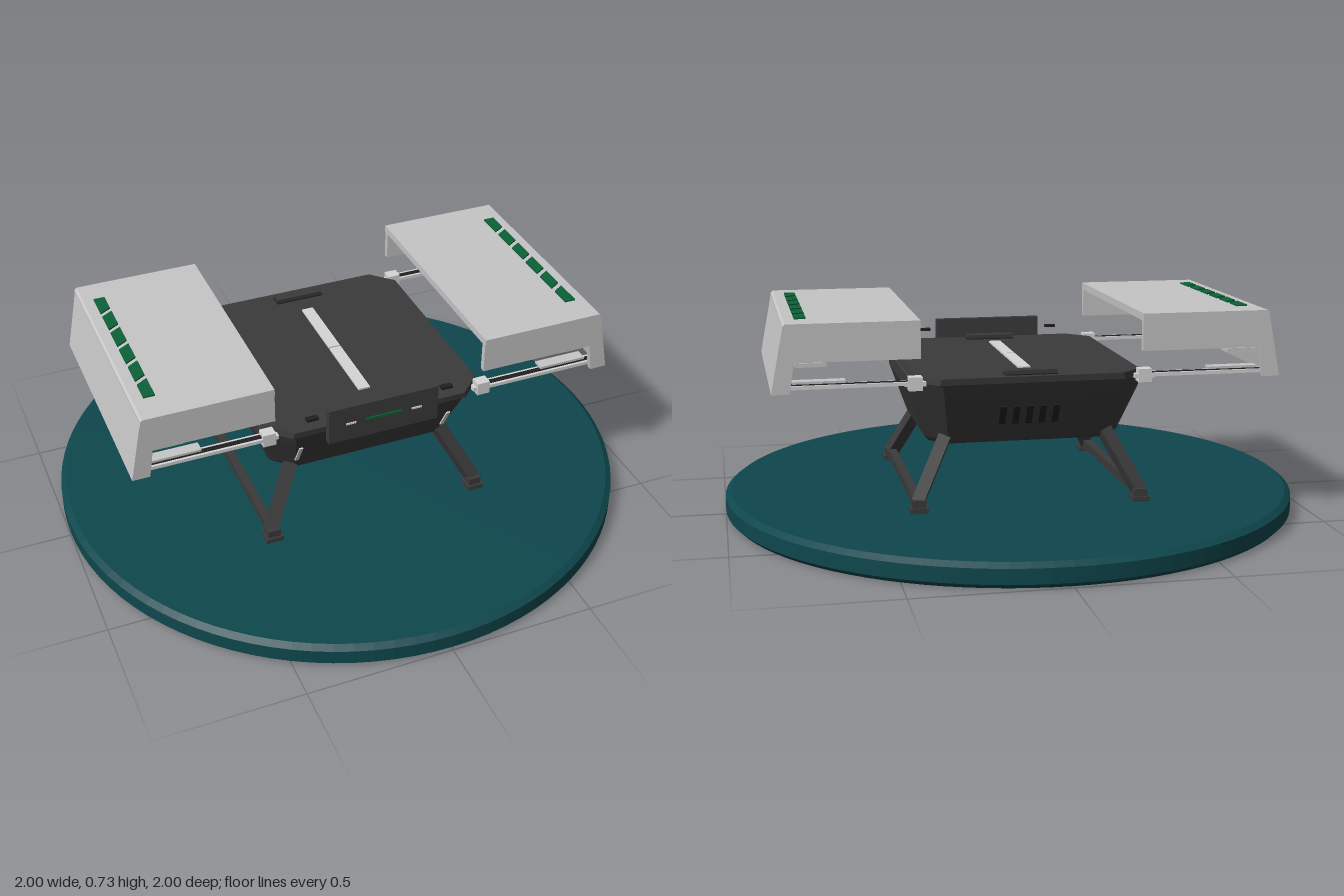
import * as THREE from 'three';

const mat = (name, color) => Object.assign(new THREE.MeshStandardMaterial({ color }), { name });

export function createModel() {
  const teal = mat('padTeal', 0x0e474d);
  const dark = mat('bodyCharcoal', 0x3b3b3b);
  const black = mat('ventBlack', 0x1f1f1f);
  const grey = mat('coverGrey', 0xc6c6c6);
  const white = mat('trimWhite', 0xd6d6d6);
  const green = mat('accentGreen', 0x0c6238);

  const model = new THREE.Group();
  model.name = 'droneStation';
  const station = new THREE.Group();
  station.name = 'station';
  station.position.z = -0.012;
  model.add(station);

  const add = (name, geo, material, parent = station) => {
    const m = new THREE.Mesh(geo, material);
    m.name = name;
    parent.add(m);
    return m;
  };
  const box = (name, material, w, h, d, x, y, z) => {
    const m = add(name, new THREE.BoxGeometry(w, h, d), material);
    m.position.set(x, y, z);
    return m;
  };
  const shape = pts => new THREE.Shape(pts.map(p => new THREE.Vector2(...p)));
  // Profile in x/y extruded along z from z0
  const slab = (name, material, pts, z0, depth) => {
    const g = new THREE.ExtrudeGeometry(shape(pts), { depth, bevelEnabled: false });
    g.translate(0, 0, z0);
    return add(name, g, material);
  };
  // Square bar between two points
  const strut = (name, material, a, b, w, d) => {
    const A = new THREE.Vector3(...a), B = new THREE.Vector3(...b);
    const m = add(name, new THREE.BoxGeometry(w, A.distanceTo(B), d), material);
    m.position.copy(A).add(B).multiplyScalar(0.5);
    m.quaternion.setFromUnitVectors(new THREE.Vector3(0, 1, 0), B.sub(A).normalize());
    return m;
  };

  // Round landing pad with a bevelled rim
  const rim = [[0, 0], [0.985, 0], [1, 0.015], [1, 0.065], [0.98, 0.08], [0, 0.08]];
  const pad = new THREE.LatheGeometry(rim.map(p => new THREE.Vector2(...p)), 96).toNonIndexed();
  pad.computeVertexNormals();
  add('landingPad', pad, teal, model);

  // Chamfered hull lofted from octagons: [y, half width, half depth, chamfer]
  const levels = [[0.285, 0.32, 0.28, 0.06], [0.30, 0.335, 0.293, 0.07], [0.46, 0.39, 0.385, 0.1],
    [0.505, 0.39, 0.405, 0.09], [0.508, 0.385, 0.41, 0.075], [0.53, 0.38, 0.412, 0.075]];
  const ring = ([y, w, d, c]) => [[w, d - c], [w - c, d], [c - w, d], [-w, d - c],
    [-w, c - d], [c - w, -d], [w - c, -d], [w, c - d]].map(([x, z]) => [x, y, z]);
  const pos = [];
  const tri = (...p) => p.forEach(v => pos.push(...v));
  const rings = levels.map(ring);
  for (let i = 0; i < 8; i++) {
    const j = (i + 1) % 8;
    for (let k = 0; k + 1 < rings.length; k++) {
      const a = rings[k], b = rings[k + 1];
      tri(a[i], b[j], a[j]);
      tri(a[i], b[i], b[j]);
    }
    const t = rings[rings.length - 1];
    tri([0, 0.53, 0], t[j], t[i]);
    tri([0, 0.285, 0], rings[0][i], rings[0][j]);
  }
  // Rings run clockwise from above, so swap corners to face outwards
  for (let i = 0; i < pos.length; i += 9) {
    const p = k => new THREE.Vector3(pos[i + k], pos[i + k + 1], pos[i + k + 2]);
    const a = p(0), b = p(3), c = p(6);
    const n = b.clone().sub(a).cross(c.clone().sub(a));
    const out = a.clone().add(b).add(c).divideScalar(3).sub(new THREE.Vector3(0, 0.42, 0));
    if (n.dot(out) < 0) {
      for (let k = 0; k < 3; k++) [pos[i + 3 + k], pos[i + 6 + k]] = [pos[i + 6 + k], pos[i + 3 + k]];
    }
  }
  const hull = new THREE.BufferGeometry();
  hull.setAttribute('position', new THREE.Float32BufferAttribute(pos, 3));
  hull.computeVertexNormals();
  add('hull', hull, dark);

  // Deck: split light strip and two handles
  for (const s of [-1, 1]) {
    box('deckStrip', white, 0.042, 0.008, 0.264, 0, 0.532, s * 0.135);
    box('deckHandle', dark, 0.17, 0.016, 0.042, 0, 0.538, s * 0.365);
    box('deckHandleEdge', black, 0.176, 0.004, 0.048, 0, 0.531, s * 0.365);
  }

  // Front display with status lights
  box('displayPanel', dark, 0.39, 0.13, 0.026, 0, 0.535, 0.42);
  box('statusBar', green, 0.13, 0.009, 0.006, 0, 0.538, 0.434);
  for (const s of [-1, 1]) {
    box('statusLight', white, 0.035, 0.006, 0.006, s * 0.117, 0.536, 0.434);
    box('sensorTab', black, 0.04, 0.009, 0.02, s * 0.24, 0.565, 0.4);
    const lamp = box('hullLamp', white, 0.013, 0.095, 0.008, s * 0.268, 0.39, 0.346);
    lamp.rotation.x = 0.52;
  }

  // Rear vents
  for (let i = -2; i <= 2; i++) {
    const vent = box('rearVent', black, 0.022, 0.075, 0.008, i * 0.045, 0.39, -0.346);
    vent.rotation.x = -0.52;
  }

  for (const s of [-1, 1]) {
    // Splayed legs joined by a skid
    box('skid', dark, 0.03, 0.03, 0.75, s * 0.378, 0.11, 0);
    for (const t of [-1, 1]) {
      strut('leg', dark, [s * 0.275, 0.31, t * 0.28], [s * 0.38, 0.11, t * 0.362], 0.042, 0.042);
      box('foot', dark, 0.06, 0.018, 0.06, s * 0.378, 0.088, t * 0.37);
      box('ankle', dark, 0.045, 0.03, 0.045, s * 0.378, 0.108, t * 0.37);

      // Sliding rails and their brackets
      box('railBracket', white, 0.045, 0.045, 0.04, s * 0.385, 0.514, t * 0.375);
      box('railClamp', white, 0.07, 0.014, 0.025, s * 0.385, 0.512, t * 0.375);
      for (const dz of [-0.014, 0.014])
        box('rail', white, 0.42, 0.012, 0.01, s * 0.60, 0.516, t * 0.375 + dz);
      box('railCore', black, 0.40, 0.006, 0.02, s * 0.60, 0.52, t * 0.375);
      box('railEnd', grey, 0.17, 0.008, 0.04, s * 0.695, 0.529, t * 0.36);
      box('innerLedge', grey, 0.10, 0.014, 0.05, s * 0.72, 0.588, t * 0.365);

      // Cover side cheeks
      const cheek = [[0.37, 0.6], [0.775, 0.6], [0.79, 0.5], [0.848, 0.5], [0.808, 0.705], [0.37, 0.705]];
      slab('coverCheek', grey, cheek.map(([x, y]) => [s * x, y]), t > 0 ? 0.392 : -0.412, 0.02);
    }
    // Cover roof and sloping outer wall, open towards the hull
    const roof = [[0.37, 0.7], [0.809, 0.7], [0.807, 0.718], [0.8, 0.725], [0.37, 0.725]];
    slab('coverRoof', grey, roof.map(([x, y]) => [s * x, y]), -0.415, 0.83);
    const wall = [[0.83, 0.5], [0.849, 0.5], [0.809, 0.705], [0.79, 0.705]];
    slab('coverOuterWall', grey, wall.map(([x, y]) => [s * x, y]), -0.412, 0.824);

    // Slanted green roof markings with pale gaps between
    const tilt = 0.012;
    for (let i = 0; i < 6; i++) {
      const z0 = -0.312 + i * 0.1065, z1 = z0 + 0.085;
      const a = i === 0 ? 0 : tilt, b = i === 5 ? 0 : tilt;
      const pts = [[-0.019, -z0 - a], [0.019, -z0 + a], [0.019, -z1 + b], [-0.019, -z1 - b]];
      const g = new THREE.ExtrudeGeometry(shape(pts), { depth: 0.006, bevelEnabled: false });
      g.rotateX(-Math.PI / 2);
      add('roofMarking', g, green).position.set(s * 0.746, 0.724, 0);
    }
  }
  return model;
}
